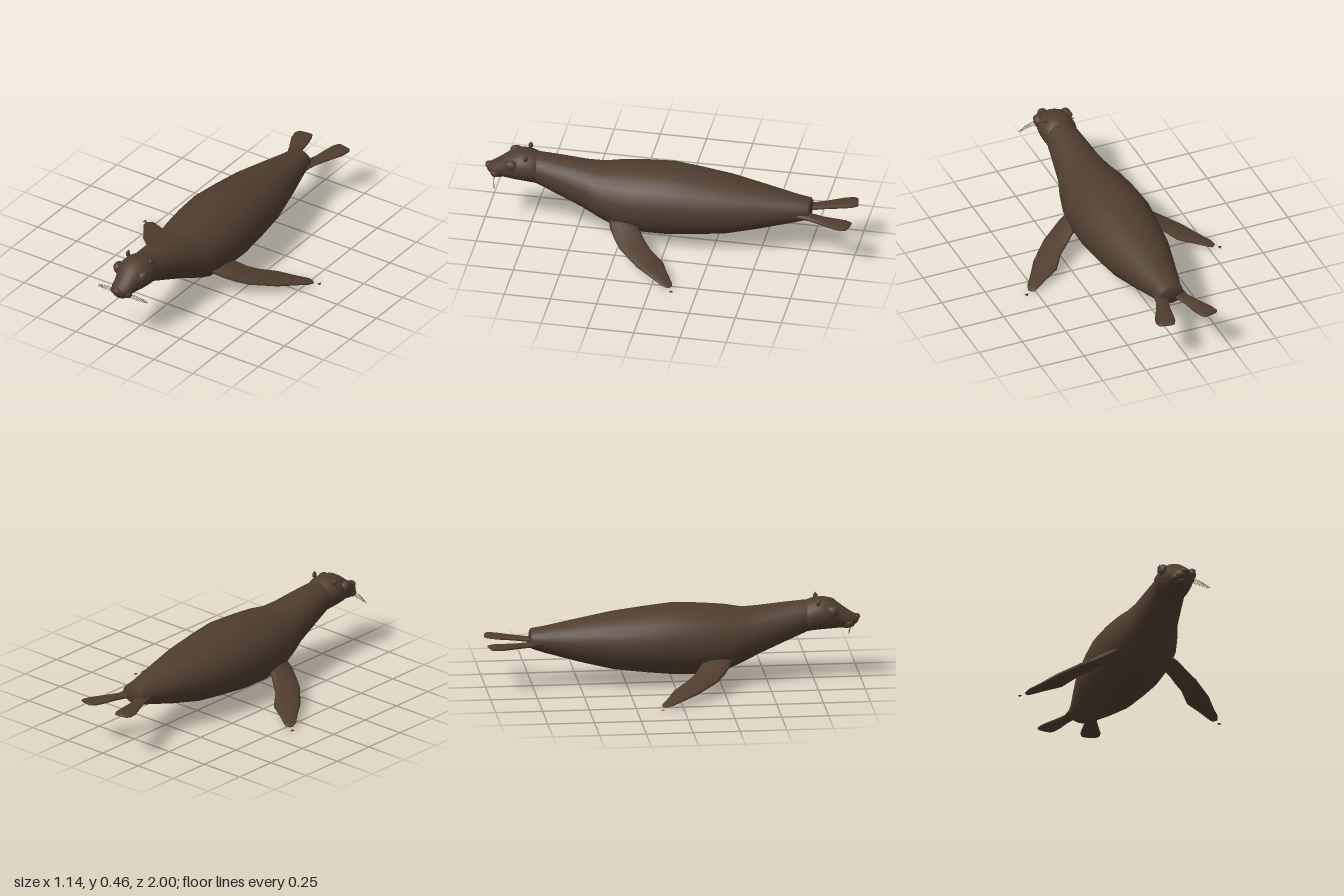
import * as THREE from 'three';

const brown = new THREE.MeshStandardMaterial({ color: 0x4f3d2e });
brown.name = 'brownFur';

// Skin over elliptical rings {c: centre, u, v: half axes}, closed with a point at each end
function loft(rings, sides) {
  const pos = [], idx = [];
  for (const { c, u, v } of rings) {
    for (let j = 0; j < sides; j++) {
      const a = (j / sides) * Math.PI * 2;
      const p = c.clone().addScaledVector(u, Math.cos(a)).addScaledVector(v, Math.sin(a));
      pos.push(p.x, p.y, p.z);
    }
  }
  const last = (rings.length - 1) * sides, start = rings.length * sides;
  for (const r of [rings[0], rings[rings.length - 1]]) pos.push(r.c.x, r.c.y, r.c.z);
  for (let j = 0; j < sides; j++) {
    const k = (j + 1) % sides;
    for (let i = 0; i < last; i += sides) {
      idx.push(i + j, i + k, i + sides + j, i + k, i + sides + k, i + sides + j);
    }
    idx.push(start, k, j, start + 1, last + j, last + k);
  }
  const g = new THREE.BufferGeometry();
  g.setAttribute('position', new THREE.Float32BufferAttribute(pos, 3));
  g.setIndex(idx);
  g.computeVertexNormals();
  return g;
}

// Sections along z: [z, half width, bottom, top]
function trunk(sections, sides) {
  return loft(sections.map(([z, w, lo, hi]) => ({
    c: new THREE.Vector3(0, (lo + hi) / 2, z),
    u: new THREE.Vector3(w, 0, 0),
    v: new THREE.Vector3(0, (hi - lo) / 2, 0),
  })), sides);
}

// Flat blade: [first edge x, z, second edge x, z, height, half thickness]
function blade(sections, side) {
  return loft(sections.map(([x1, z1, x2, z2, y, t]) => ({
    c: new THREE.Vector3(side * (x1 + x2) / 2, y, (z1 + z2) / 2),
    u: new THREE.Vector3(side * (x2 - x1) / 2, 0, (z2 - z1) / 2).multiplyScalar(side),
    v: new THREE.Vector3(0, t, 0),
  })), 12);
}

const bodySections = [
  [-0.765, 0.055, 0.225, 0.305], [-0.755, 0.072, 0.208, 0.316], [-0.69, 0.083, 0.185, 0.326],
  [-0.5, 0.132, 0.13, 0.362], [-0.32, 0.175, 0.086, 0.395], [-0.15, 0.197, 0.065, 0.416],
  [0, 0.21, 0.05, 0.432], [0.15, 0.205, 0.047, 0.425], [0.27, 0.19, 0.06, 0.415],
  [0.37, 0.163, 0.105, 0.398], [0.46, 0.132, 0.148, 0.405], [0.6, 0.108, 0.21, 0.42],
  [0.72, 0.088, 0.262, 0.43], [0.78, 0.078, 0.28, 0.425],
];
const headSections = [
  [0.69, 0.075, 0.27, 0.41], [0.71, 0.09, 0.26, 0.428], [0.75, 0.098, 0.266, 0.441],
  [0.8, 0.098, 0.27, 0.445], [0.84, 0.09, 0.272, 0.437], [0.88, 0.073, 0.274, 0.412],
  [0.91, 0.063, 0.276, 0.388], [0.94, 0.06, 0.28, 0.366], [0.965, 0.045, 0.287, 0.351],
  [0.982, 0.028, 0.298, 0.342], [0.99, 0.012, 0.31, 0.335],
];
const foreSections = [
  [0.13, 0.31, 0.13, 0.17, 0.16, 0.03], [0.2, 0.285, 0.2, 0.12, 0.131, 0.026],
  [0.26, 0.25, 0.24, 0.09, 0.105, 0.021], [0.32, 0.21, 0.29, 0.05, 0.085, 0.019],
  [0.43, 0.095, 0.35, -0.03, 0.052, 0.016], [0.48, 0.016, 0.43, -0.07, 0.034, 0.012],
  [0.53, -0.055, 0.495, -0.108, 0.019, 0.008], [0.54, -0.09, 0.515, -0.112, 0.012, 0.003],
];
const hindSections = [
  [0.08, -0.68, 0.015, -0.68, 0.25, 0.022], [0.093, -0.77, 0.022, -0.77, 0.243, 0.013],
  [0.125, -0.84, 0.043, -0.84, 0.245, 0.012], [0.165, -0.92, 0.055, -0.92, 0.248, 0.012],
  [0.174, -0.965, 0.066, -0.965, 0.251, 0.012], [0.166, -0.985, 0.078, -0.99, 0.252, 0.009],
  [0.125, -0.996, 0.085, -1.0, 0.252, 0.004],
];

export function createModel() {
  const model = new THREE.Group();
  model.name = 'seaLion';
  const add = (name, geometry, position = [0, 0, 0], scale = [1, 1, 1]) => {
    const mesh = new THREE.Mesh(geometry, brown);
    mesh.name = name;
    mesh.position.set(...position);
    mesh.scale.set(...scale);
    model.add(mesh);
    return mesh;
  };
  const ball = new THREE.SphereGeometry(1, 16, 12);

  add('body', trunk(bodySections, 28));
  add('head', trunk(headSections, 24));
  add('nose', ball, [0, 0.332, 0.982], [0.025, 0.016, 0.018]);
  add('lowerJaw', ball, [0, 0.288, 0.925], [0.042, 0.016, 0.045]);

  for (const side of [1, -1]) {
    const label = side > 0 ? 'left' : 'right';
    add(label + 'ForeFlipper', blade(foreSections, side));
    add(label + 'HindFlipper', blade(hindSections, side));

    // Small claw lying just beyond the flipper tip
    const claw = add(label + 'Claw', new THREE.ConeGeometry(0.012, 0.022, 4), [side * 0.558, 0.003, -0.118], [1, 1, 0.2]);
    claw.rotation.set(-Math.PI / 2, 0, 0);

    // Eyes with heavy upper lids
    add(label + 'Eye', ball, [side * 0.08, 0.381, 0.846], [0.024, 0.03, 0.031]);
    add(label + 'Eyelid', new THREE.SphereGeometry(1, 16, 6, 0, Math.PI * 2, 0, Math.PI * 0.42),
      [side * 0.08, 0.384, 0.846], [0.027, 0.031, 0.036]);
    const rim = add(label + 'LowerLid', new THREE.TorusGeometry(0.026, 0.004, 6, 20), [side * 0.089, 0.379, 0.848]);
    rim.rotation.y = side * 1.1;

    // Ears
    add(label + 'Ear', ball, [side * 0.073, 0.43, 0.768], [0.011, 0.017, 0.013]);
    add(label + 'EarTip', new THREE.ConeGeometry(0.009, 0.018, 8), [side * 0.071, 0.447, 0.766]);

    // Whisker fan
    add(label + 'WhiskerPad', ball, [side * 0.04, 0.306, 0.938], [0.024, 0.022, 0.026]);
    for (let i = 0; i < 6; i++) {
      const t = i / 5;
      const curve = new THREE.QuadraticBezierCurve3(
        new THREE.Vector3(side * 0.05, 0.287 + 0.03 * t, 0.94),
        new THREE.Vector3(side * 0.11, 0.284 + 0.026 * t, 0.937),
        new THREE.Vector3(side * (0.148 + 0.012 * Math.sin(t * Math.PI)), 0.277 + 0.012 * t, 0.922));
      add(label + 'Whisker', new THREE.TubeGeometry(curve, 6, 0.0009, 4));
    }
  }
  return model;
}
